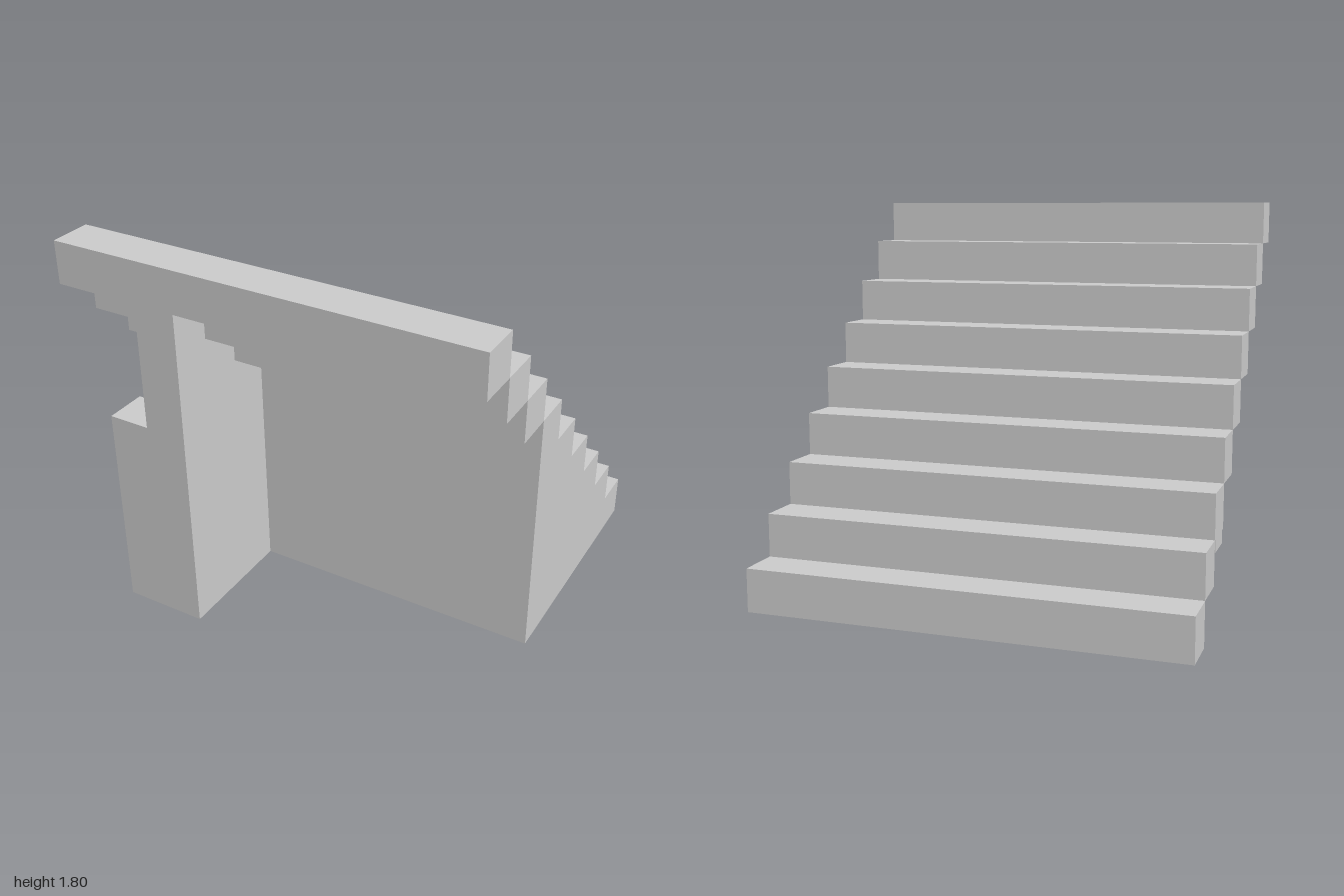
import * as THREE from 'three';

const STEP = 0.2;      // rise and run of every step
const COUNT = 9;
const BACK = -0.9;     // z of the lowest step's outer edge

export function createModel() {
  const group = new THREE.Group();
  const material = new THREE.MeshStandardMaterial({ color: 0xcccccc, flatShading: true });

  const add = (name, geometry) => {
    const mesh = new THREE.Mesh(geometry, material);
    mesh.name = name;
    group.add(mesh);
    return mesh;
  };

  // Box given by its limits on each axis
  const box = (name, x0, x1, y0, y1, z0, z1) =>
    add(name, new THREE.BoxGeometry(x1 - x0, y1 - y0, z1 - z0))
      .position.set((x0 + x1) / 2, (y0 + y1) / 2, (z0 + z1) / 2);

  // Solid with a stepped top that fills the space under steps first..last
  const support = (name, first, last, x0, x1) => {
    const shape = new THREE.Shape();
    shape.moveTo(-(BACK + first * STEP), 0);
    for (let i = first; i <= last; i++) {
      shape.lineTo(-(BACK + i * STEP), i * STEP);
      shape.lineTo(-(BACK + (i + 1) * STEP), i * STEP);
    }
    shape.lineTo(-(BACK + (last + 1) * STEP), 0);
    const geometry = new THREE.ExtrudeGeometry(shape, { depth: x1 - x0, bevelEnabled: false });
    geometry.rotateY(Math.PI / 2);
    geometry.translate(x0, 0, 0);
    add(name, geometry);
  };

  // Full-width steps climbing towards the front
  for (let i = 0; i < COUNT; i++) {
    const z = BACK + i * STEP;
    box(`step${i + 1}`, -1, 1, i * STEP, (i + 1) * STEP, z, z + STEP);
  }

  // Broad base below the lower steps, narrow wall below the upper ones
  support('stairBase', 1, 5, -0.6, 1);
  support('supportWall', 6, 8, -0.6, -0.4);

  // Short post beside the front end of the wall
  box('sidePost', -0.8, -0.6, 0, 1, 0.7, 0.9);

  return group;
}
